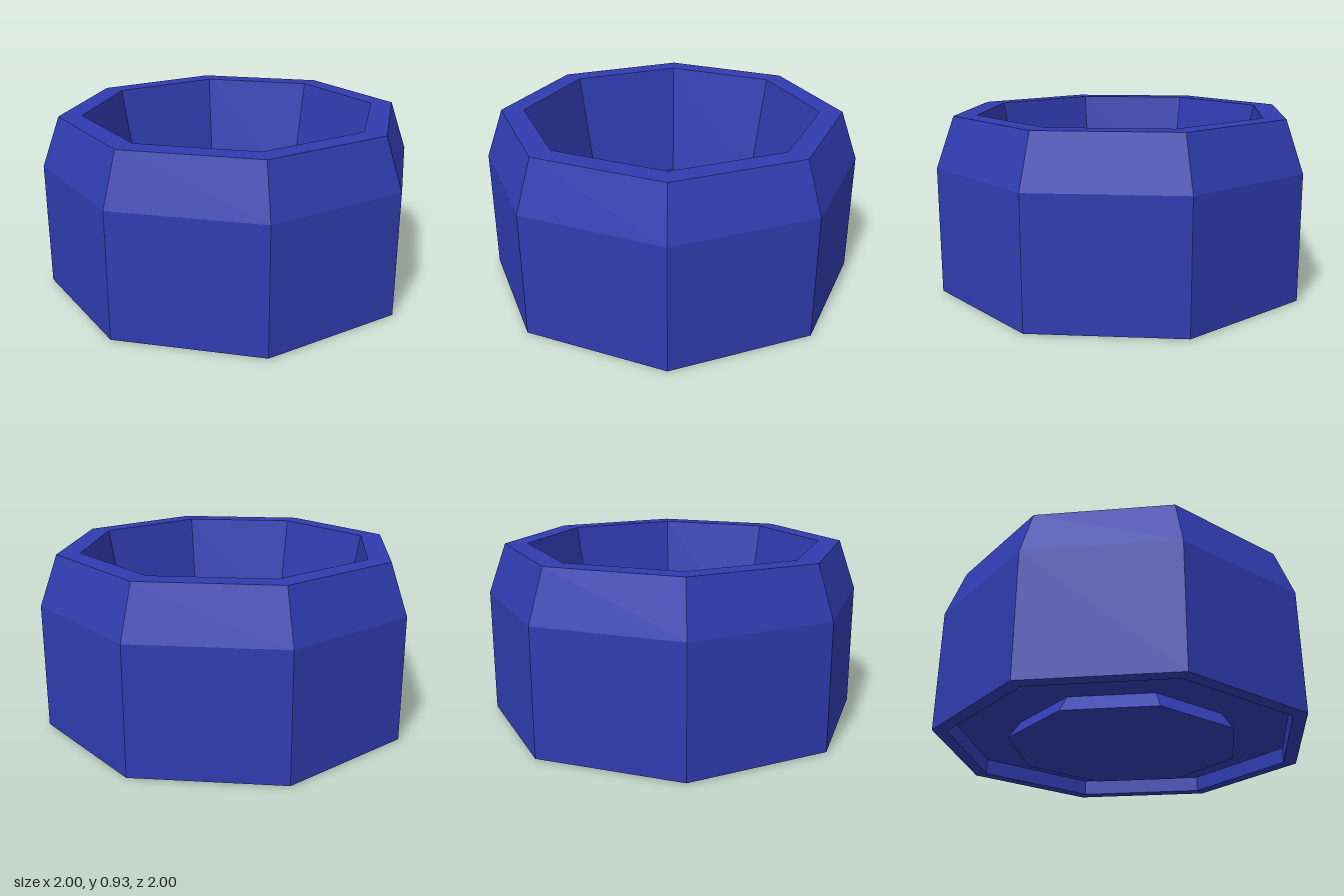
import * as THREE from 'three';

const SIDES = 8;
const material = new THREE.MeshStandardMaterial({ color: 0x303cb0, flatShading: true });

// Octagonal ring of faces swept from a [radius, height] profile
function facetedPart(name, profile) {
  const points = profile.map(([r, y]) => new THREE.Vector2(r, y));
  const mesh = new THREE.Mesh(new THREE.LatheGeometry(points, SIDES), material);
  mesh.name = name;
  return mesh;
}

export function createModel() {
  const group = new THREE.Group();
  group.name = 'octagonalBowl';

  // Upright wall, sloped shoulder and flat rim
  group.add(facetedPart('outerWall', [[1, 0.005], [1, 0.665], [0.905, 0.93], [0.785, 0.93]]));

  // Tapered hollow with a flat floor
  group.add(facetedPart('basin', [[0.785, 0.93], [0.665, 0.295], [0, 0.295]]));

  // Undercut centre foot, recessed underside and outer standing ring
  group.add(facetedPart('underside', [
    [0, 0], [0.62, 0], [0.56, 0.09], [0.925, 0.09], [0.925, 0.005], [1, 0.005],
  ]));

  return group;
}
